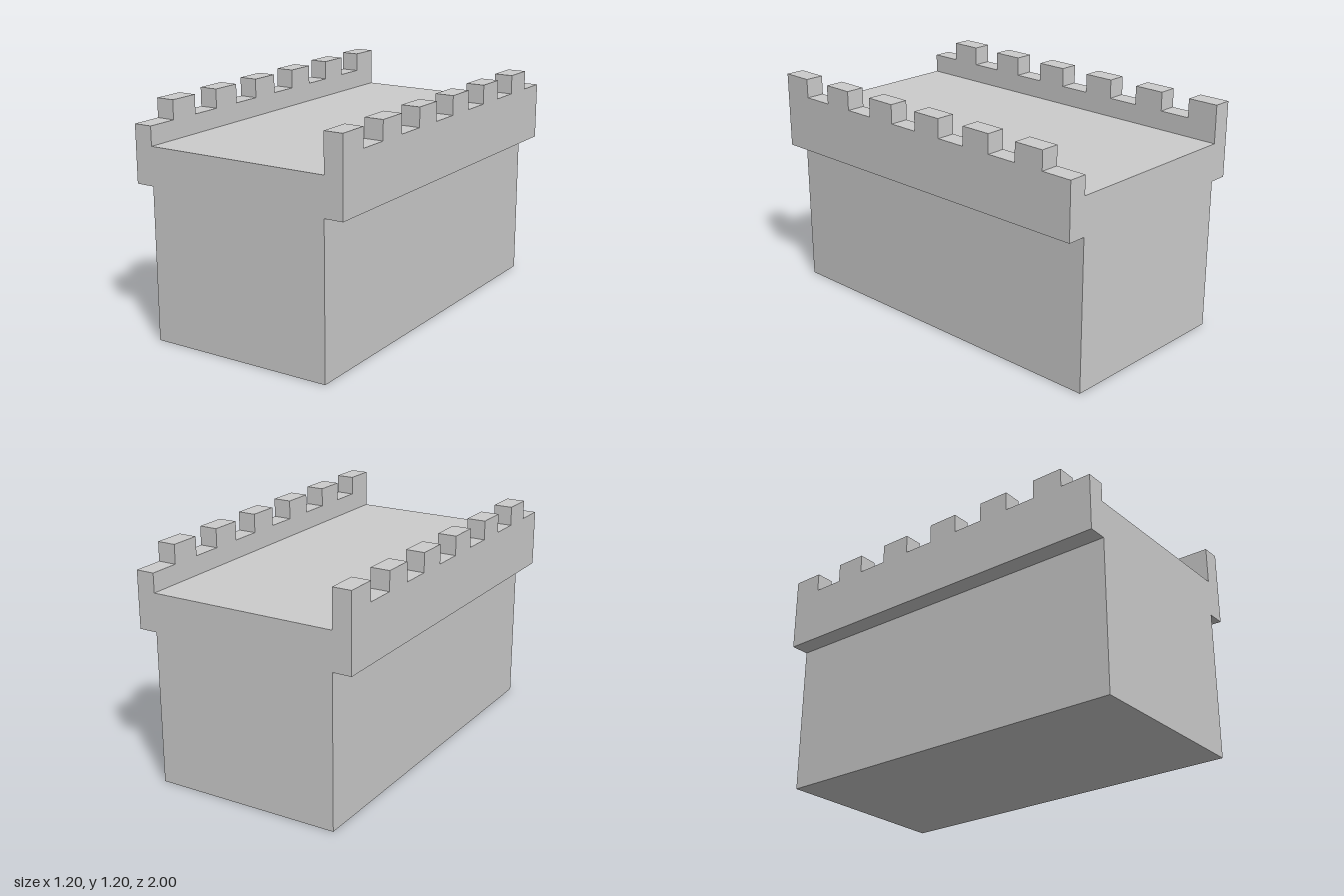
import * as THREE from 'three';

const LENGTH = 2, TEETH = 6;
const WALL = { bottom: 0.8, notch: 1.1, top: 1.2, inner: 0.5, thickness: 0.1 };

// Side elevation of a parapet: merlon first at the +z end, notch last at the -z end
function parapetShape() {
  const step = LENGTH / (TEETH * 2);
  const shape = new THREE.Shape();
  shape.moveTo(-LENGTH / 2, WALL.bottom);
  shape.lineTo(LENGTH / 2, WALL.bottom);
  for (let i = 0; i < TEETH * 2; i++) {
    const y = i % 2 === 0 ? WALL.top : WALL.notch;
    const z = LENGTH / 2 - i * step;
    shape.lineTo(z, y);
    shape.lineTo(z - step, y);
  }
  shape.closePath();
  return shape;
}

export function createModel() {
  const group = new THREE.Group();
  group.name = 'castleWall';
  const material = new THREE.MeshStandardMaterial({ color: 0xcccccc });

  // Solid wall block whose top is the walkway
  const body = new THREE.Mesh(new THREE.BoxGeometry(WALL.inner * 2, 1, LENGTH), material);
  body.name = 'wallBody';
  body.position.y = 0.5;
  group.add(body);

  // Overhanging crenellated parapets, the second turned half a circle
  const geometry = new THREE.ExtrudeGeometry(parapetShape(), { depth: WALL.thickness, bevelEnabled: false });
  geometry.rotateY(-Math.PI / 2);
  geometry.translate(WALL.inner + WALL.thickness, 0, 0);
  ['leftParapet', 'rightParapet'].forEach((name, i) => {
    const parapet = new THREE.Mesh(geometry, material);
    parapet.name = name;
    parapet.rotation.y = i * Math.PI;
    group.add(parapet);
  });

  return group;
}
